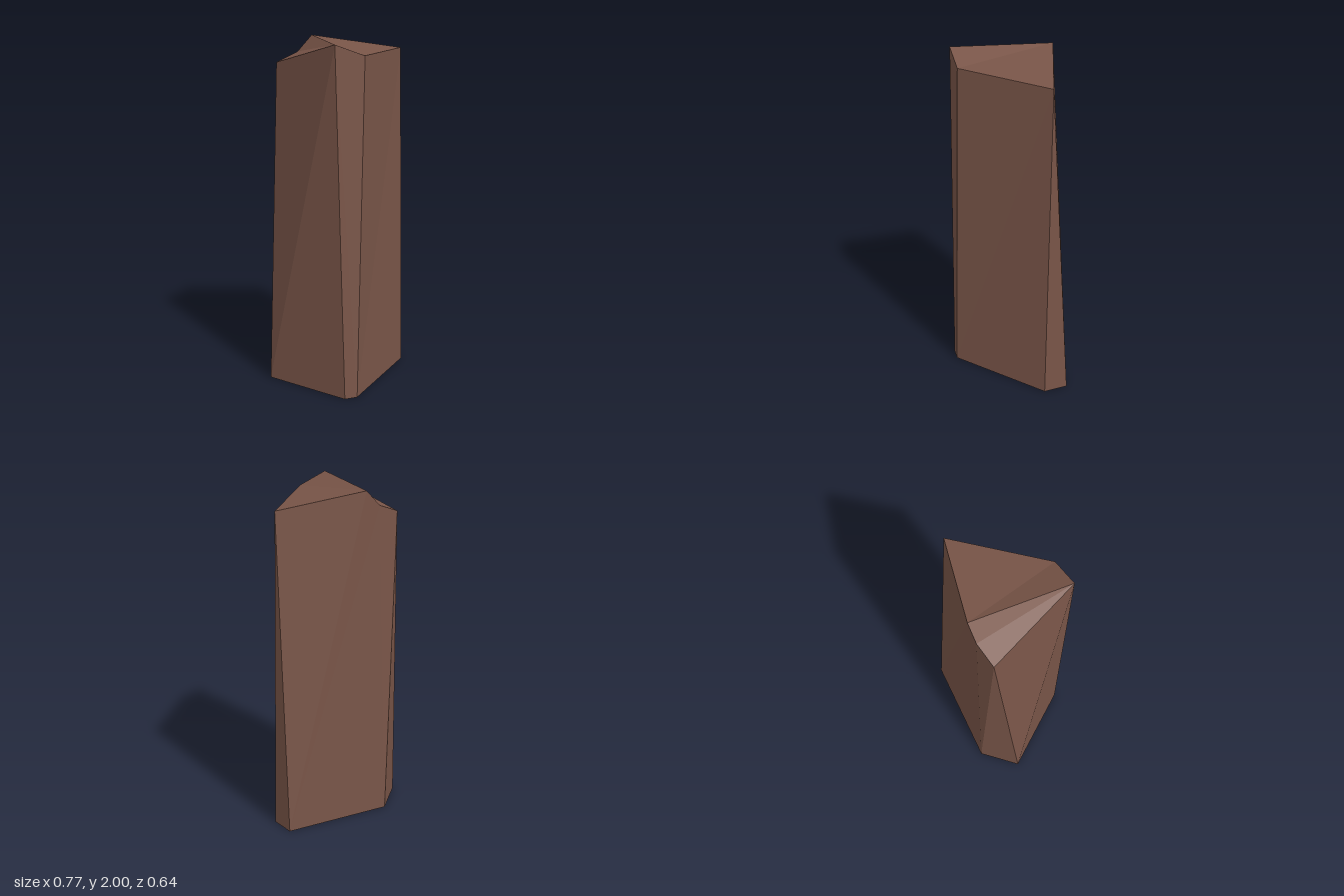
import * as THREE from 'three';

// Faceted shard of rock: an irregular six-sided base leaning into a chipped, sloping top.
export function createModel() {
  const group = new THREE.Group();
  group.name = 'rockPillar';

  // Corners run counter-clockwise seen from above
  const top = [
    [-0.386, 2, 0.22], [-0.235, 1.935, 0.308], [0.335, 1.922, 0.16],
    [-0.015, 2, -0.222], [-0.09, 1.908, -0.268], [-0.218, 1.855, -0.32],
  ];
  const base = [
    [-0.376, 0, 0.278], [-0.312, 0, 0.318], [0.325, 0, 0.2],
    [0.385, 0, 0.07], [-0.135, 0, -0.316], [-0.382, 0, -0.264],
  ];

  // Corners 0-5 are the top, 6-11 the base
  const faces = [
    // sloping top with the chipped back corner
    0, 1, 3, 1, 2, 3, 0, 3, 4, 0, 4, 5,
    // front
    6, 7, 0, 7, 1, 0, 7, 8, 2, 7, 2, 1,
    // narrow edge and back
    8, 9, 2, 9, 3, 2, 9, 10, 4, 9, 4, 3,
    // chipped back corner and side
    10, 11, 5, 10, 5, 4, 11, 0, 5, 11, 6, 0,
  ];
  // flat underside
  for (let i = 1; i < 5; i++) faces.push(6, 6 + i + 1, 6 + i);

  const indexed = new THREE.BufferGeometry();
  indexed.setAttribute('position', new THREE.Float32BufferAttribute([...top, ...base].flat(), 3));
  indexed.setIndex(faces);
  const geometry = indexed.toNonIndexed();
  geometry.computeVertexNormals();

  const stone = new THREE.MeshStandardMaterial({ color: 0x795548, flatShading: true });
  const rock = new THREE.Mesh(geometry, stone);
  rock.name = 'rock';
  group.add(rock);
  return group;
}
